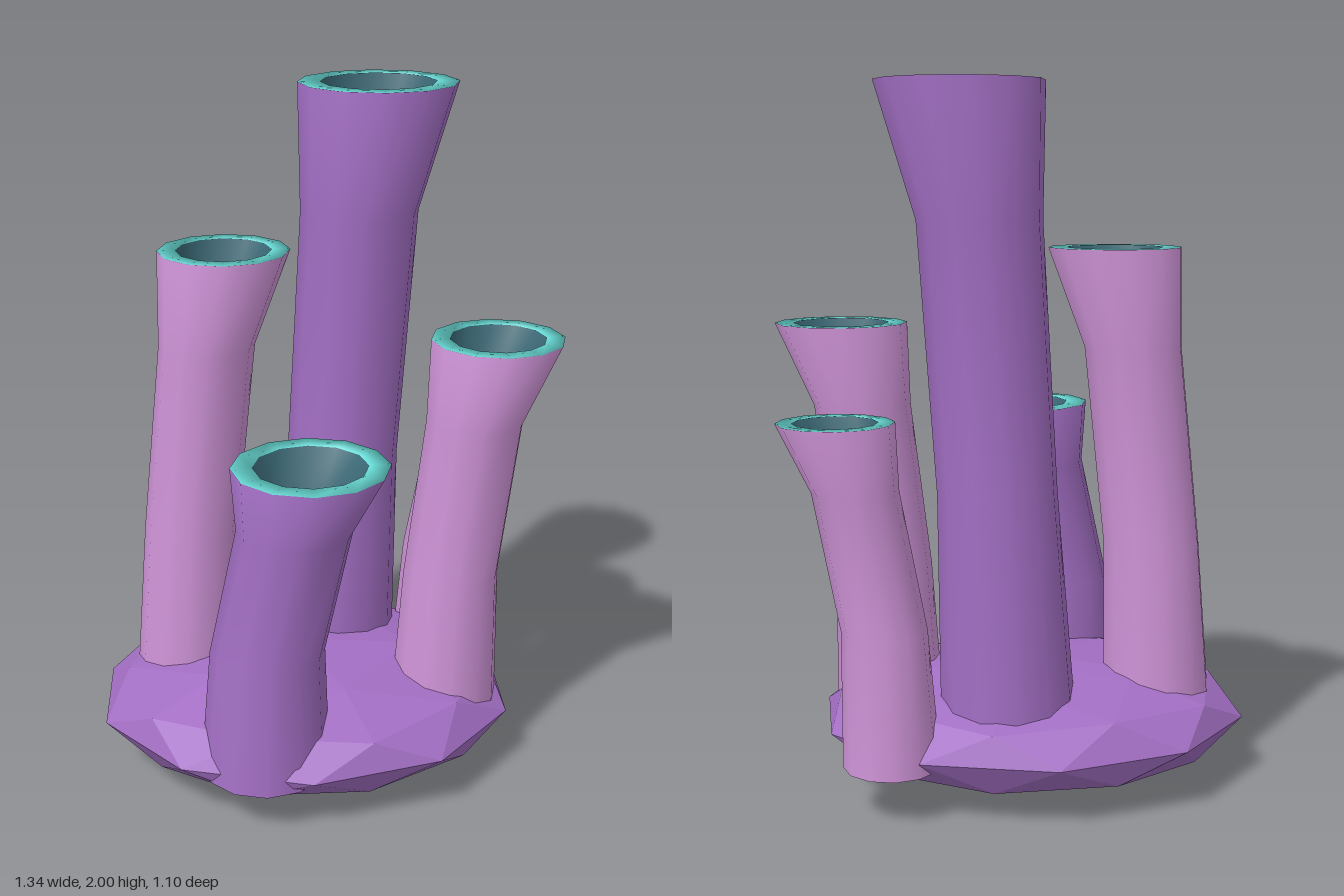
import * as THREE from 'three';

const SIDES = 12;
const purple = new THREE.MeshStandardMaterial({ color: 0xa36fc4 });
const pink = new THREE.MeshStandardMaterial({ color: 0xcf94d8 });
const teal = new THREE.MeshStandardMaterial({ color: 0x6fe8e2 });
const darkTeal = new THREE.MeshStandardMaterial({ color: 0x3a6774 });
const rockMaterial = new THREE.MeshStandardMaterial({ color: 0xa36fc4, flatShading: true });

// Triangles joining ring number `from` up to ring number `to`
function bandIndex(from, to) {
  const index = [];
  for (let k = from; k < to; k++) {
    for (let i = 0; i < SIDES; i++) {
      const j = (i + 1) % SIDES;
      const a = k * SIDES + i, b = k * SIDES + j;
      const c = a + SIDES, d = b + SIDES;
      index.push(a, c, b, b, c, d);
    }
  }
  return index;
}

// Hollow leaning tube; each ring is [x, y, z, radius] from bottom to top
function makeTube(name, rings, wallMaterial) {
  const group = new THREE.Group();
  group.name = name;
  const [bottom, , neck, top] = rings;
  const inner = ([x, y, z, r]) => [x, y, z, r * 0.72];
  const profile = [...rings, inner(top), inner(neck)];

  const positions = [];
  for (const [x, y, z, r] of profile) {
    for (let i = 0; i < SIDES; i++) {
      const a = (i / SIDES) * Math.PI * 2;
      positions.push(x + r * Math.cos(a), y, z + r * Math.sin(a));
    }
  }
  const whole = new THREE.BufferGeometry();
  whole.setAttribute('position', new THREE.Float32BufferAttribute(positions, 3));
  whole.setIndex(bandIndex(0, profile.length - 1));
  whole.computeVertexNormals();

  // Outer wall, rim and throat share smooth normals but differ in colour
  const parts = [
    ['outerWall', 0, 3, wallMaterial],
    ['rim', 3, 4, teal],
    ['throat', 4, 5, darkTeal],
  ];
  for (const [partName, from, to, material] of parts) {
    const geometry = whole.clone();
    geometry.setIndex(bandIndex(from, to));
    const mesh = new THREE.Mesh(geometry, material);
    mesh.name = partName;
    group.add(mesh);
  }

  // Underside of the tube
  const foot = new THREE.Mesh(new THREE.CircleGeometry(bottom[3], SIDES).rotateX(Math.PI / 2), wallMaterial);
  foot.position.set(bottom[0], bottom[1], bottom[2]);
  foot.name = 'foot';
  group.add(foot);
  return group;
}

export function createModel() {
  const model = new THREE.Group();
  model.name = 'tubeSpongeCluster';

  // Flattened faceted rock, turned so that a corner points straight up
  const rockGeometry = new THREE.IcosahedronGeometry(1, 1)
    .rotateX(-Math.atan((1 + Math.sqrt(5)) / 2))
    .rotateY(Math.PI / 2)
    .scale(0.63, 0.176, 0.54);
  rockGeometry.computeVertexNormals();
  const rock = new THREE.Mesh(rockGeometry, rockMaterial);
  rock.position.set(-0.07, 0.18, -0.01);
  rock.name = 'rockBase';
  model.add(rock);

  // Tubes
  model.add(
    makeTube('tallTube', [
      [0.025, 0.14, -0.245, 0.195], [0.06, 0.88, -0.24, 0.168],
      [0.107, 1.63, -0.235, 0.173], [0.16, 2.0, -0.237, 0.232],
    ], purple),
    makeTube('frontTube', [
      [-0.2, 0.14, 0.34, 0.185], [-0.19, 0.5, 0.325, 0.163],
      [-0.11, 0.87, 0.325, 0.163], [-0.066, 1.055, 0.33, 0.22],
    ], purple),
    makeTube('rightTube', [
      [-0.43, 0.14, -0.105, 0.16], [-0.405, 0.7, -0.105, 0.14],
      [-0.345, 1.27, -0.105, 0.14], [-0.29, 1.55, -0.105, 0.19],
    ], pink),
    makeTube('leftTube', [
      [0.345, 0.14, 0.078, 0.16], [0.36, 0.615, 0.075, 0.14],
      [0.418, 1.09, 0.075, 0.14], [0.476, 1.33, 0.078, 0.19],
    ], pink),
    makeTube('backLeftTube', [
      [0.365, 0.14, -0.333, 0.135], [0.382, 0.525, -0.33, 0.118],
      [0.455, 0.91, -0.33, 0.118], [0.506, 1.1, -0.33, 0.16],
    ], pink),
  );
  return model;
}
